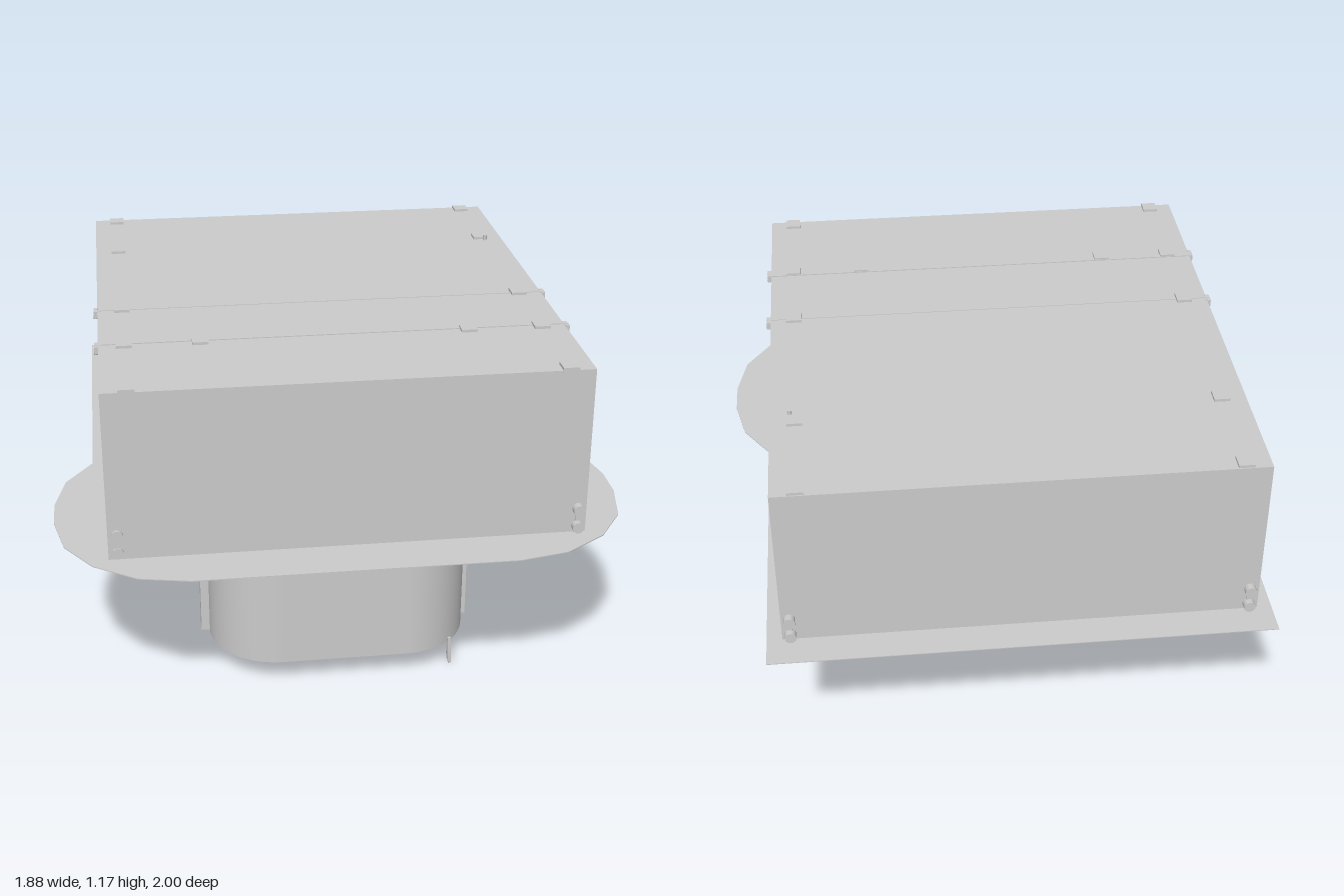
import * as THREE from 'three';

export function createModel() {
  const model = new THREE.Group();
  const mat = new THREE.MeshStandardMaterial({ color: 0xcccccc, side: THREE.DoubleSide });

  const add = (name, geo, x = 0, y = 0, z = 0) => {
    const mesh = new THREE.Mesh(geo, mat);
    mesh.name = name;
    mesh.position.set(x, y, z);
    model.add(mesh);
    return mesh;
  };
  // box given by its limits on each axis
  const box = (name, x0, x1, y0, y1, z0, z1) =>
    add(name, new THREE.BoxGeometry(x1 - x0, y1 - y0, z1 - z0), (x0 + x1) / 2, (y0 + y1) / 2, (z0 + z1) / 2);

  // main housing
  box('housing', -0.767, 0.765, 0.58, 1.147, -0.89, 0.835);

  // thin base plate: square at the back, flared and rounded at the front
  const half = [[0.815, -1], [0.815, 0.13], [0.907, 0.27], [0.942, 0.435], [0.942, 0.565],
    [0.907, 0.735], [0.817, 0.87], [0.68, 0.965], [0.515, 1]];
  const outline = [...half, ...half.map(([x, z]) => [-x, z]).reverse()];
  const plateShape = new THREE.Shape(outline.map(([x, z]) => new THREE.Vector2(x, z)));
  const plateGeo = new THREE.ExtrudeGeometry(plateShape, { depth: 0.003, bevelEnabled: false });
  plateGeo.rotateX(Math.PI / 2);
  add('basePlate', plateGeo, 0, 0.581, 0);

  // open sleeve with a stadium cross-section: straight sides and round ends
  const radius = 0.23, halfLength = 0.21, steps = 24, bottom = 0.085, top = 0.58;
  const sleeveGeo = new THREE.CylinderGeometry(radius, radius, top - bottom, steps * 2 + 1, 1, true);
  const pos = sleeveGeo.attributes.position, nor = sleeveGeo.attributes.normal;
  for (let i = 0; i < pos.count; i++) {
    const k = i % (steps * 2 + 2);
    const right = k <= steps;
    const a = (right ? k : k - 1) * Math.PI / steps;
    const end = k === steps * 2 + 1;
    const s = end ? 0 : Math.sin(a), c = end ? 1 : Math.cos(a);
    pos.setX(i, s * radius + (right ? halfLength : -halfLength));
    pos.setZ(i, c * radius);
    nor.setXYZ(i, s, 0, c);
  }
  add('sleeve', sleeveGeo, 0, (top + bottom) / 2, 0.49);
  // closing strip of the front wall
  add('sleeveFrontWall', new THREE.PlaneGeometry(halfLength * 2, top - bottom), 0, (top + bottom) / 2, 0.49 + radius);

  // ribs on the sleeve ends
  box('sleeveRibLeft', 0.425, 0.462, bottom, top, 0.425, 0.48);
  box('sleeveRibRight', -0.468, -0.425, bottom, top, 0.425, 0.48);

  // two slightly leaning prongs below the sleeve
  for (const z of [0.66, 0.636]) {
    const prong = box('prong', 0.367, 0.377, 0, 0.1, z - 0.005, z + 0.005);
    prong.rotation.z = 0.05;
  }

  // clips on the lid
  const clip = (x, z) => box('lidClip', x - 0.026, x + 0.026, 1.14, 1.156, z - 0.026, z + 0.026);
  for (const s of [-1, 1]) {
    for (const z of [-0.86, -0.5, 0.125, 0.452, 0.81]) clip(s * 0.685, z);
    clip(s * 0.44, 0.452);
  }

  // lid seams with hinge knuckles at both ends
  box('wideSeam', -0.775, 0.775, 1.14, 1.15, 0.424, 0.444);
  box('narrowSeam', -0.775, 0.775, 1.14, 1.149, 0.121, 0.129);
  for (const s of [-1, 1]) for (const z of [0.12, 0.445]) {
    const knuckle = add('hingeKnuckle', new THREE.CylinderGeometry(0.016, 0.016, 0.016, 12), s * 0.772, 1.133, z);
    knuckle.rotation.z = Math.PI / 2;
    box('hingeTab', s * 0.772 - 0.007, s * 0.772 + 0.007, 1.125, 1.149, z - 0.02, z + 0.02);
  }

  // stacked studs at the lower corners
  for (const s of [-1, 1]) for (const face of [-1, 1]) {
    const wall = face > 0 ? 0.835 : -0.89;
    const length = face > 0 && s < 0 ? 0.01 : 0.025;
    for (const y of [0.604, 0.665]) {
      const stud = add('cornerStud', new THREE.CylinderGeometry(0.019, 0.019, length, 14),
        s * 0.737, y, wall + face * length / 2);
      stud.rotation.x = Math.PI / 2;
    }
    const z = wall + face * 0.003;
    box('studLink', s * 0.737 - 0.008, s * 0.737 + 0.008, 0.604, 0.665, z - 0.003, z + 0.003);
  }

  // locking rod running through the housing
  add('lockingRod', new THREE.CylinderGeometry(0.007, 0.007, 0.592, 10), 0.7, 0.87, -0.465);

  return model;
}
